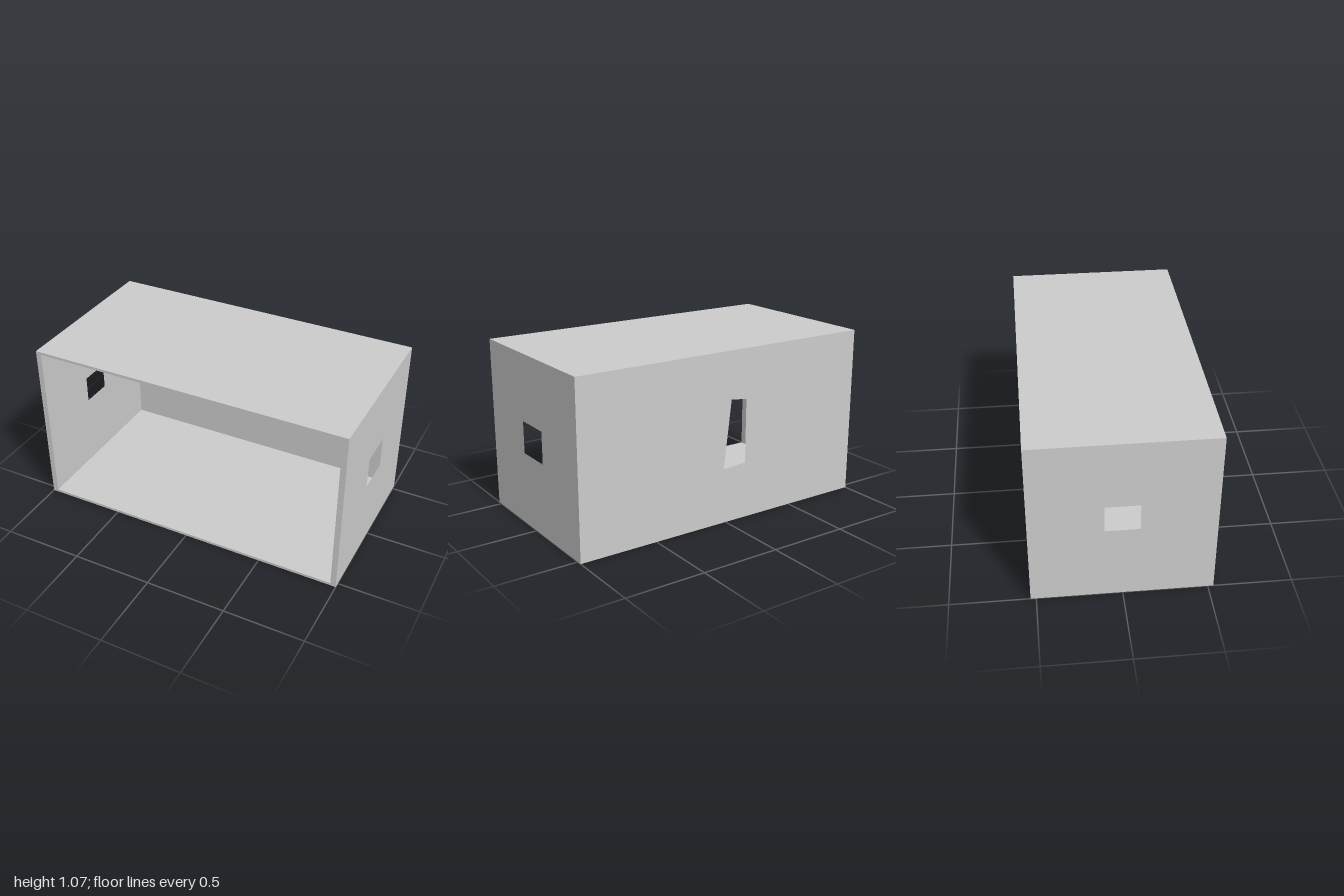
import * as THREE from 'three';

const W = 1, H = 1.065, D = 0.533;             // half width, height, half depth
const IW = 0.965, Y0 = 0.017, Y1 = 1.048;      // inner half width, inner floor and ceiling
const IB = -0.53;                              // inner back plane
const material = new THREE.MeshStandardMaterial({ color: 0xcccccc, flatShading: true });

const rect = (x0, x1, y0, y1) => [[x0, y0], [x1, y0], [x1, y1], [x0, y1]];
const toPoints = (list, flip = 1) => list.map(([x, y]) => new THREE.Vector2(x * flip, y));

// Flat panel drawn in x/y, facing +z before it is turned; flip mirrors the outline
function panel(name, outline, hole, position, rotation, flip = 1) {
  const shape = new THREE.Shape(toPoints(outline, flip));
  if (hole) shape.holes.push(new THREE.Path(toPoints(hole, flip)));
  const mesh = new THREE.Mesh(new THREE.ShapeGeometry(shape), material);
  mesh.name = name;
  mesh.position.set(...position);
  mesh.rotation.set(...rotation);
  return mesh;
}

export function createModel() {
  const room = new THREE.Group();
  room.name = 'room';
  const q = Math.PI / 2;

  // Openings: one window per side wall, a leaning doorway in the back
  const largeWindow = rect(-0.118, 0.117, 0.455, 0.653);
  const smallWindow = rect(-0.09, 0.107, 0.475, 0.643);
  const smallWindowOuter = rect(-0.105, 0.095, 0.477, 0.646);
  const doorway = [[-0.14, 0.355], [0.02, 0.345], [-0.03, 0.77], [-0.14, 0.755]];

  // Outer skin
  const side = rect(-D, D, 0, H), flat = rect(-W, W, -D, D);
  room.add(
    panel('leftOuterWall', side, largeWindow, [W, 0, 0], [0, q, 0], -1),
    panel('rightOuterWall', side, smallWindowOuter, [-W, 0, 0], [0, -q, 0]),
    panel('backOuterWall', rect(-W, W, 0, H), doorway, [0, 0, -D], [0, Math.PI, 0], -1),
    panel('roof', flat, null, [0, H, 0], [-q, 0, 0]),
    panel('base', flat, null, [0, 0, 0], [q, 0, 0])
  );

  // Inner skin, facing into the room
  const innerSide = rect(IB, D, Y0, Y1);
  room.add(
    panel('leftInnerWall', innerSide, largeWindow, [IW, 0, 0], [0, -q, 0]),
    panel('rightInnerWall', innerSide, smallWindow, [-IW, 0, 0], [0, q, 0], -1),
    panel('backInnerWall', rect(-IW, IW, Y0, Y1), doorway, [0, 0, IB], [0, 0, 0]),
    panel('floor', rect(-IW, IW, -D, -IB), null, [0, Y0, 0], [-q, 0, 0]),
    panel('ceiling', rect(-IW, IW, IB, D), null, [0, Y1, 0], [q, 0, 0])
  );

  // Narrow rim around the open front
  room.add(panel('frontRim', rect(-W, W, 0, H), rect(-IW, IW, Y0, Y1), [0, 0, D], [0, 0, 0]));
  return room;
}
